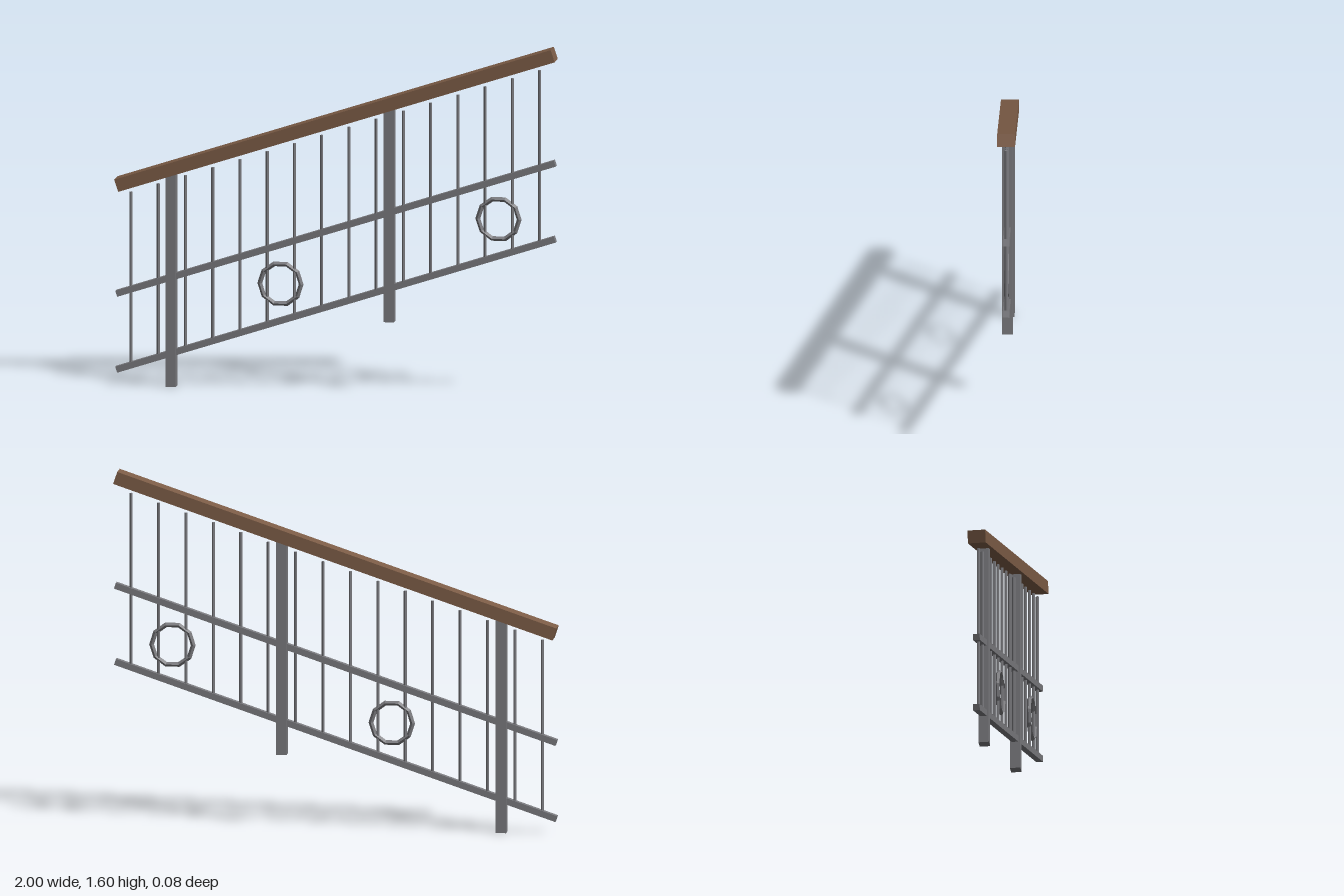
import * as THREE from 'three';

const SLOPE = 1 / 3;
const ANGLE = Math.atan(SLOPE);

export function createModel() {
  const group = new THREE.Group();
  const wood = new THREE.MeshStandardMaterial({ color: 0x7d5d47, flatShading: true });
  wood.name = 'brown wood';
  const metal = new THREE.MeshStandardMaterial({ color: 0x7a7a7e, flatShading: true });
  metal.name = 'grey metal';

  function add(name, geometry, material, x, y) {
    const mesh = new THREE.Mesh(geometry, material);
    mesh.name = name;
    mesh.position.set(x, y, 0);
    group.add(mesh);
    return mesh;
  }

  // Sloping bars, centred on x = 0
  function slopedBar(name, y, thickness, depth, material) {
    const length = (2 - thickness * Math.sin(ANGLE)) / Math.cos(ANGLE);
    add(name, new THREE.BoxGeometry(length, thickness, depth), material, 0, y).rotation.z = ANGLE;
  }
  slopedBar('handrail', 1.242, 0.058, 0.08, wood);
  slopedBar('middleRail', 0.746, 0.028, 0.03, metal);
  slopedBar('lowerRail', 0.4, 0.028, 0.03, metal);

  // Square posts, each with a ring half a bay further up the slope
  const postShape = new THREE.BoxGeometry(0.047, 0.968, 0.047);
  const ringShape = new THREE.TorusGeometry(0.094, 0.011, 4, 10);
  for (const x of [-0.747, 0.243]) {
    add('post', postShape, metal, x, 0.733 + x * SLOPE);
    add('ring', ringShape, metal, x + 0.495, 0.568 + (x + 0.495) * SLOPE);
  }

  // Thin upright balusters at equal spacing, stopping just under the handrail
  const balusterShape = new THREE.CylinderGeometry(0.0075, 0.0075, 0.79, 6);
  for (let i = 0; i < 16; i++) {
    const x = -0.931 + i * 0.1237;
    add('baluster', balusterShape, metal, x, 0.795 + x * SLOPE);
  }

  return group;
}
